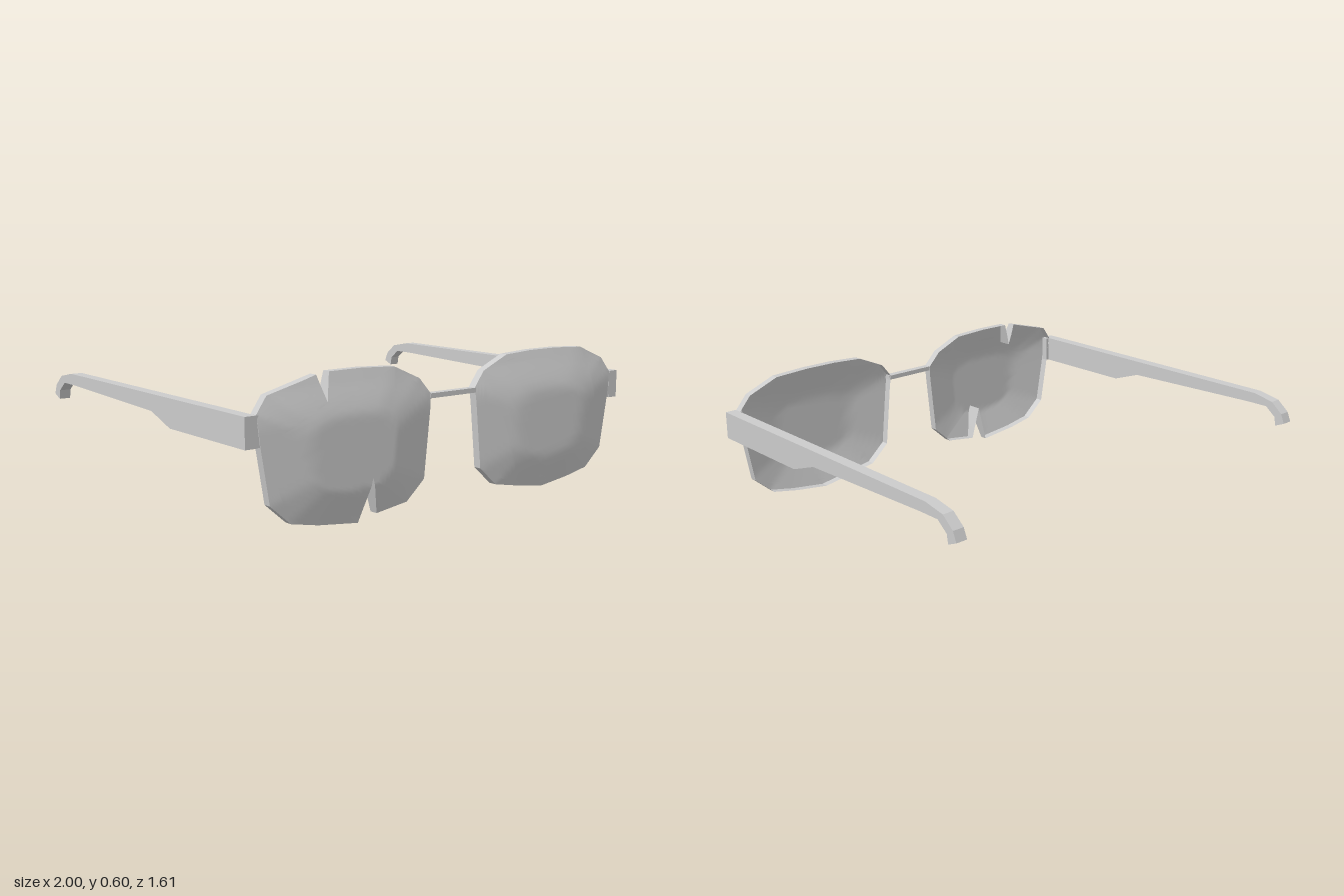
import * as THREE from 'three';
import { mergeVertices } from 'three/addons/utils/BufferGeometryUtils.js';

const V = (x, y) => new THREE.Vector2(x, y);
const DEPTH = 0.035;
const CENTER = V(0.53, 0.27);

// Plain lens outline on the left (+x) side, clockwise from the nose
const OUTLINE = [[0.12, 0.47], [0.175, 0.535], [0.305, 0.592], [0.45, 0.6], [0.6, 0.6], [0.76, 0.592],
  [0.9, 0.535], [0.95, 0.47], [0.935, 0.35], [0.897, 0.13], [0.805, 0.05], [0.68, 0.025],
  [0.52, 0.004], [0.38, 0.025], [0.245, 0.05], [0.155, 0.13]].map(p => V(...p));

// The same outline with a small notch on top and a larger one below
const NOTCHED = [[0.12, 0.47], [0.175, 0.535], [0.305, 0.592], [0.47, 0.6], [0.62, 0.599], [0.65, 0.49],
  [0.68, 0.592], [0.9, 0.535], [0.95, 0.47], [0.935, 0.35], [0.897, 0.13], [0.805, 0.05],
  [0.68, 0.025], [0.49, 0.004], [0.445, 0.18], [0.4, 0.028], [0.245, 0.05], [0.155, 0.13]].map(p => V(...p));

// 0 at the lens centre, 1 on the plain outline
function radial(p) {
  let t = 0;
  OUTLINE.forEach((a, i) => {
    const b = OUTLINE[(i + 1) % OUTLINE.length];
    const nx = a.y - b.y, ny = b.x - a.x;
    const reach = nx * (a.x - CENTER.x) + ny * (a.y - CENTER.y);
    t = Math.max(t, (nx * (p.x - CENTER.x) + ny * (p.y - CENTER.y)) / reach);
  });
  return Math.min(t, 1);
}

const rimZ = y => 0.767 - 0.012 * THREE.MathUtils.smoothstep(y, 0.4, 0.56);

// Flat in the middle, falling off to the rim
function domeZ(p) {
  const fall = Math.max(0, (radial(p) - 0.5) / 0.5);
  return THREE.MathUtils.lerp(0.803, rimZ(p.y), fall);
}

function geometryFrom(points) {
  const g = new THREE.BufferGeometry();
  g.setAttribute('position', new THREE.Float32BufferAttribute(points.flat(), 3));
  return g;
}

// Split a triangle into four, again and again
function subdivide(tri, level, out) {
  if (level === 0) {
    for (const p of tri) out.push([p.x, p.y, domeZ(p)]);
    return;
  }
  const [a, b, c] = tri;
  const mid = (p, q) => p.clone().add(q).multiplyScalar(0.5);
  const ab = mid(a, b), bc = mid(b, c), ca = mid(c, a);
  for (const t of [[a, ab, ca], [ab, b, bc], [ca, bc, c], [ab, bc, ca]]) subdivide(t, level - 1, out);
}

// Domed sheet with a wall running back from its edge
function makeLens(outline, side, name, material) {
  let pts = outline.map(p => V(p.x * side, p.y));
  if (THREE.ShapeUtils.isClockWise(pts)) pts.reverse();
  const local = p => V(p.x * side, p.y);

  const sheet = [];
  for (const f of THREE.ShapeUtils.triangulateShape(pts, [])) {
    subdivide(f.map(i => pts[i]), 4, sheet);
  }
  // Dome heights follow the unmirrored outline
  for (const p of sheet) p[2] = domeZ(local(V(p[0], p[1])));
  const sheetGeo = mergeVertices(geometryFrom(sheet), 1e-5);
  sheetGeo.computeVertexNormals();

  const wall = [];
  const STEPS = 16;
  pts.forEach((a, i) => {
    const b = pts[(i + 1) % pts.length];
    for (let k = 0; k < STEPS; k++) {
      const p = a.clone().lerp(b, k / STEPS), q = a.clone().lerp(b, (k + 1) / STEPS);
      const pf = [p.x, p.y, domeZ(local(p))], qf = [q.x, q.y, domeZ(local(q))];
      const pb = [p.x, p.y, rimZ(p.y) - DEPTH], qb = [q.x, q.y, rimZ(q.y) - DEPTH];
      wall.push(pf, pb, qb, pf, qb, qf);
    }
  });
  const wallGeo = geometryFrom(wall);
  wallGeo.computeVertexNormals();

  const group = new THREE.Group();
  group.name = name;
  const lens = new THREE.Mesh(sheetGeo, material);
  lens.name = 'lens';
  const rim = new THREE.Mesh(wallGeo, material);
  rim.name = 'rim';
  group.add(lens, rim);
  return group;
}

// Side profile of an arm as (z, y), with a hooked tip
const ARM = [[0.765, 0.47], [-0.63, 0.468], [-0.73, 0.448], [-0.785, 0.402], [-0.803, 0.36], [-0.757, 0.34],
  [-0.75, 0.38], [-0.7, 0.42], [-0.6, 0.42], [0.09, 0.4], [0.235, 0.35], [0.765, 0.35]].map(p => V(...p));

export function createModel() {
  const model = new THREE.Group();
  model.name = 'sunglasses';
  const grey = new THREE.MeshStandardMaterial({ color: 0xcccccc });
  const thin = new THREE.MeshStandardMaterial({ color: 0xcccccc, side: THREE.DoubleSide });

  const box = (name, w, h, d, x, y, z) => {
    const m = new THREE.Mesh(new THREE.BoxGeometry(w, h, d), grey);
    m.name = name;
    m.position.set(x, y, z);
    model.add(m);
  };

  // Lenses
  model.add(makeLens(OUTLINE, 1, 'leftLens', thin));
  model.add(makeLens(NOTCHED, -1, 'rightLens', thin));

  // Nose bridge
  box('bridge', 0.25, 0.02, 0.033, 0, 0.46, 0.748);

  // Arms and the tabs joining them to the lenses
  for (const side of [1, -1]) {
    const label = side > 0 ? 'left' : 'right';
    const geo = new THREE.ExtrudeGeometry(new THREE.Shape(ARM), { depth: 0.05, bevelEnabled: false });
    geo.rotateY(-Math.PI / 2);
    geo.translate(side > 0 ? 1 : -0.95, 0, 0);
    const arm = new THREE.Mesh(geo, grey);
    arm.name = label + 'Arm';
    model.add(arm);
    box(label + 'Hinge', 0.022, 0.118, 0.032, side * 0.946, 0.41, 0.748);
  }
  return model;
}
